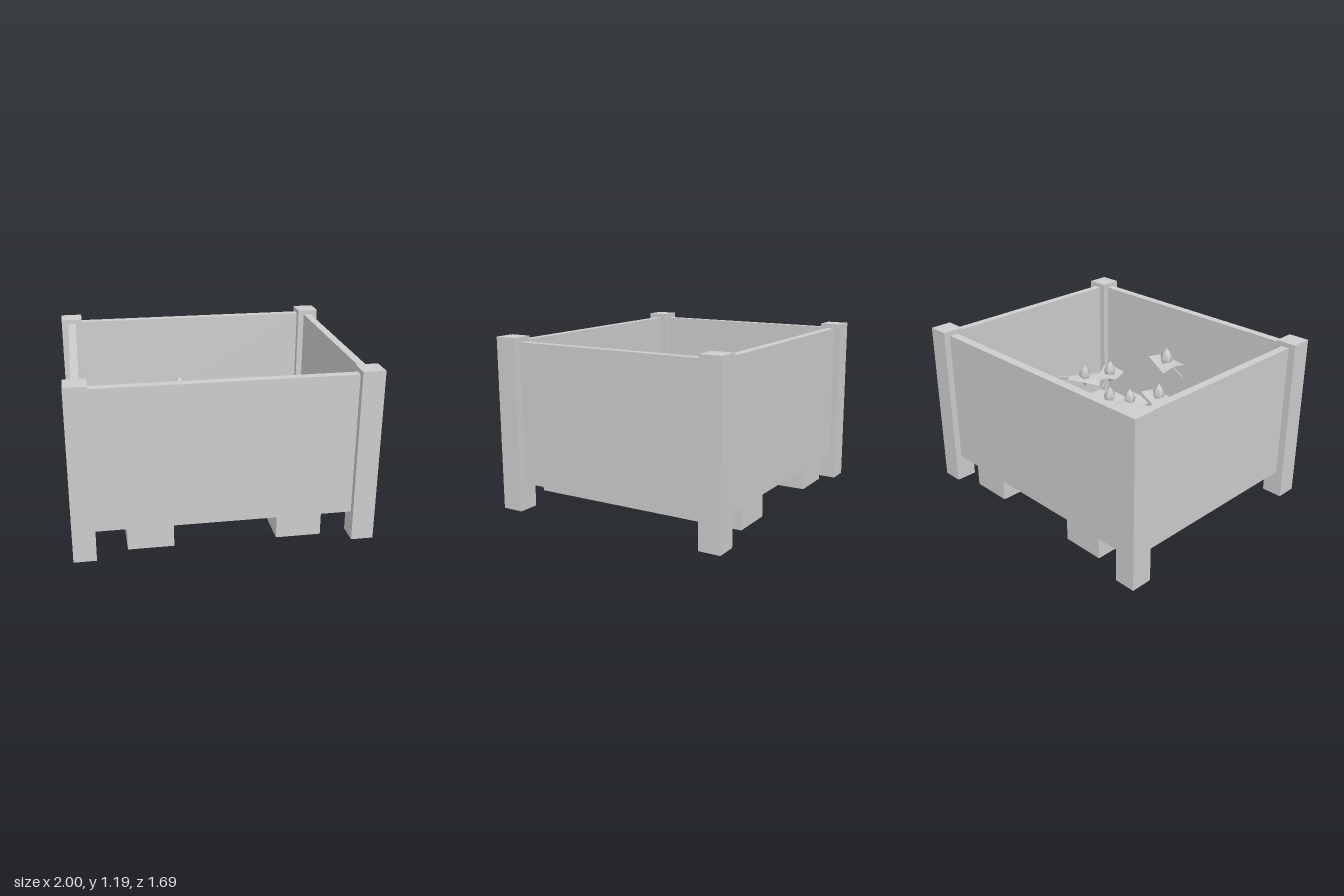
import * as THREE from 'three';

export function createModel() {
  const model = new THREE.Group();
  const grey = new THREE.MeshStandardMaterial({ color: 0xcccccc });
  grey.name = 'lightGrey';
  const greyLeaf = grey.clone();
  greyLeaf.side = THREE.DoubleSide;

  // Box given by its min and max corners
  const box = (name, x0, x1, y0, y1, z0, z1) => {
    const mesh = new THREE.Mesh(new THREE.BoxGeometry(x1 - x0, y1 - y0, z1 - z0), grey);
    mesh.position.set((x0 + x1) / 2, (y0 + y1) / 2, (z0 + z1) / 2);
    mesh.name = name;
    model.add(mesh);
  };

  // Corner posts
  for (const sx of [-1, 1]) for (const sz of [-1, 1]) {
    const x = sx * 0.925, z = sz * 0.77;
    box('cornerPost', x - 0.075, x + 0.075, 0, 1.187, z - 0.076, z + 0.076);
  }

  // Wall panels, floor and skids
  box('frontPanel', -0.85, 0.85, 0.187, 1.155, 0.74, 0.8);
  box('backPanel', -0.85, 0.85, 0.187, 1.155, -0.8, -0.74);
  box('leftPanel', 0.895, 0.95, 0.187, 1.155, -0.694, 0.694);
  box('rightPanel', -0.95, -0.895, 0.187, 1.155, -0.694, 0.694);
  box('floor', -0.895, 0.895, 0.187, 0.24, -0.74, 0.74);
  box('leftSkid', 0.34, 0.643, 0.036, 0.187, -0.8, 0.8);
  box('rightSkid', -0.647, -0.343, 0.036, 0.187, -0.8, 0.8);

  // Leaf: a small sheet with bent corners; the long side follows the stalk (+z)
  const leaf = new THREE.PlaneGeometry(0.17, 0.25, 2, 2).rotateX(-Math.PI / 2);
  const p = leaf.attributes.position;
  for (let i = 0; i < p.count; i++) {
    const u = p.getX(i) / 0.085, v = p.getZ(i) / 0.125;
    p.setY(i, 0.02 * u * v - 0.02 * u * u);
  }
  leaf.computeVertexNormals();

  // Bud: pointed at both ends
  const bud = new THREE.LatheGeometry(
    [[0, -0.09], [0.04, -0.02], [0.048, 0.025], [0.025, 0.07], [0, 0.1]]
      .map(([x, y]) => new THREE.Vector2(x, y)), 5);

  // Stalk: thin at the bud, wider at its free end, drooping slightly
  const stalk = new THREE.CylinderGeometry(0.013, 0.004, 0.25, 4)
    .rotateX(Math.PI / 2).translate(0, 0, 0.125).rotateX(0.12);

  // x, y, z of each sprig, then x, z of its stalk end
  const sprigs = [
    [-0.13, 0.65, -0.53, -0.35, -0.66], [-0.40, 0.58, -0.44, -0.22, -0.48],
    [-0.21, 0.45, -0.30, -0.26, -0.52], [-0.24, 0.52, -0.19, -0.34, -0.40],
    [-0.68, 0.45, -0.15, -0.69, -0.40], [-0.56, 0.52, -0.04, -0.49, -0.29],
    [-0.38, 0.45, 0.09, -0.32, -0.15], [0.35, 0.45, -0.55, 0.50, -0.74],
    [0.62, 0.45, -0.36, 0.81, -0.52], [0.15, 0.45, 0.08, 0.30, -0.14],
    [0.60, 0.50, -0.09, 0.38, -0.20], [0.48, 0.40, 0.00, 0.66, -0.18],
    [0.72, 0.42, 0.10, 0.96, 0.03], [0.73, 0.52, 0.36, 0.89, 0.23],
    [0.26, 0.45, 0.40, 0.27, 0.15], [0.44, 0.42, 0.36, 0.34, 0.12],
    [0.56, 0.57, 0.48, 0.43, 0.26], [-0.05, 0.86, 0.47, -0.28, 0.38],
    [-0.39, 0.50, 0.47, -0.17, 0.36], [-0.65, 0.50, 0.30, -0.74, 0.07],
    [-0.69, 0.42, 0.40, -0.58, 0.20], [-0.46, 0.40, 0.46, -0.70, 0.40],
    [0.00, 0.56, 0.45, -0.22, 0.38],
  ];
  const parts = [['leaf', leaf, greyLeaf], ['bud', bud, grey], ['stalk', stalk, grey]];
  for (const [x, y, z, ex, ez] of sprigs) {
    const sprig = new THREE.Group();
    sprig.name = 'sprig';
    for (const [name, geometry, material] of parts) {
      const mesh = new THREE.Mesh(geometry, material);
      mesh.name = name;
      sprig.add(mesh);
    }
    sprig.position.set(x, y, z);
    sprig.rotation.y = Math.atan2(ex - x, ez - z);
    model.add(sprig);
  }
  return model;
}
